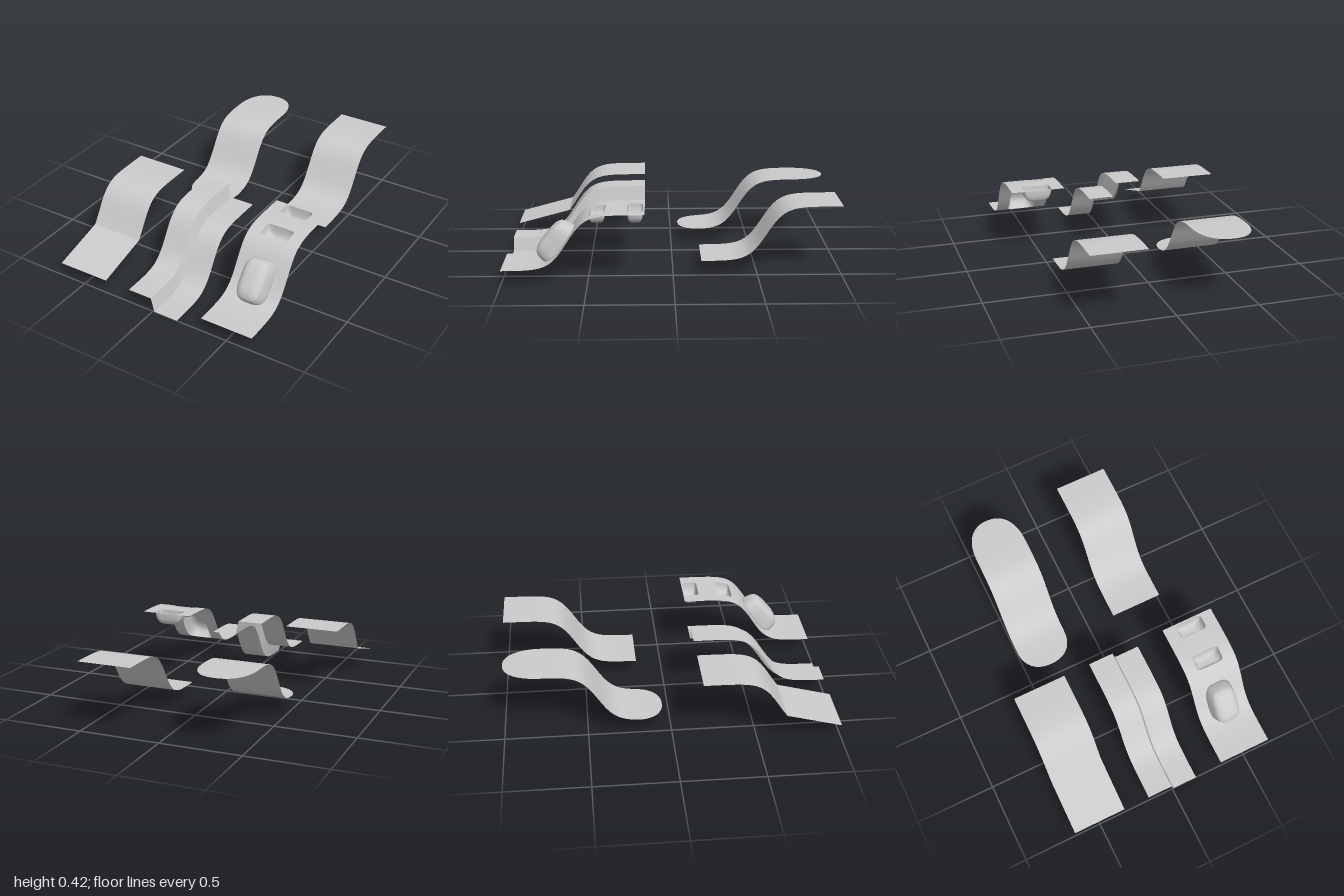
import * as THREE from 'three';
import { toCreasedNormals } from 'three/addons/utils/BufferGeometryUtils.js';

const material = new THREE.MeshStandardMaterial({ color: 0xcccccc, side: THREE.DoubleSide });
const HALF = 0.167, BACK = 0.167, FRONT = 1, DROP = 0.088;

// S-shaped section shared by every strip: high at the back, low at the front
const height = (z) => 0.253 - 0.165 * Math.tanh((z - 0.615) / 0.105);

const range = (a, b, n) => Array.from({ length: n + 1 }, (_, i) => a + ((b - a) * i) / n);

// Skin a list of equally long rows of points
function skin(name, rows) {
  const n = rows[0].length, index = [];
  for (let i = 0; i < rows.length - 1; i++) {
    for (let j = 0; j < n - 1; j++) {
      const a = i * n + j, b = a + n;
      index.push(a, b, a + 1, b, b + 1, a + 1);
    }
  }
  const geometry = new THREE.BufferGeometry();
  geometry.setAttribute('position', new THREE.Float32BufferAttribute(rows.flat(2), 3));
  geometry.setIndex(index);
  const mesh = new THREE.Mesh(toCreasedNormals(geometry, 0.55), material);
  mesh.name = name;
  return mesh;
}

// Plain strip between two z positions
const strip = (name, z0, z1, n, rule = height) =>
  skin(name, range(z0, z1, n).map((z) => [[-HALF, rule(z), z], [HALF, rule(z), z]]));

// Unit superellipse by angle; a very high power gives a square
function outline(power) {
  return range(0, Math.PI * 2, 64).map((t) => {
    const c = Math.cos(t), s = Math.sin(t);
    const r = power > 50
      ? 1 / Math.max(Math.abs(c), Math.abs(s))
      : Math.pow(Math.abs(c) ** power + Math.abs(s) ** power, -1 / power);
    return [c * r, s * r];
  });
}

// Piece of strip from z0 to z1 with a shaped opening that continues into a bump
function bumpPatch(name, z0, z1, hole, place) {
  const square = outline(100), ring = outline(hole.power), rows = [];
  for (const k of range(0, 1, 6)) {
    rows.push(square.map(([u, v], i) => {
      const x = THREE.MathUtils.lerp(u * HALF, ring[i][0] * hole.hx, k);
      const z = THREE.MathUtils.lerp((z0 + z1) / 2 + (v * (z1 - z0)) / 2, hole.z + ring[i][1] * hole.hz, k);
      return [x, height(z), z];
    }));
  }
  for (const a of range(0, Math.PI / 2, 14).slice(1)) {
    const shrink = Math.max(Math.cos(a), 0) ** 0.55, rise = Math.sin(a) ** 0.9;
    rows.push(ring.map(([u, v]) => place(u * shrink, v * shrink, rise)));
  }
  return skin(name, rows);
}

// Strip with a raised pad on the slope and two sunken pockets behind it
function paddedStrip() {
  const group = new THREE.Group();
  group.name = 'paddedStrip';
  [[0.28, 0.38], [0.51, 0.56], [0.78, FRONT]].forEach(([a, b]) => group.add(strip('stripSurface', a, b, 10)));

  // Pockets sink straight down
  [[BACK, 0.28, 0.222], [0.38, 0.51, 0.443]].forEach(([z0, z1, z]) => {
    const hole = { z, hz: 0.047, hx: 0.088, power: 7 };
    group.add(bumpPatch('pocket', z0, z1, hole, (u, v, rise) => {
      const pz = z + v * hole.hz;
      return [u * hole.hx, height(pz) + (0.338 - height(pz)) * rise, pz];
    }));
  });

  // Pad stands out square to the slope
  const hole = { z: 0.668, hz: 0.088, hx: 0.088, power: 3.6 };
  group.add(bumpPatch('raisedPad', 0.56, 0.78, hole, (u, v, rise) => {
    const bz = hole.z + v * hole.hz, along = -v * 0.145, out = 0.102 * rise;
    const pz = 0.667 - along * 0.63 + out * 0.77;
    const py = 0.2 + along * 0.77 + out * 0.63;
    const k = Math.min(1, rise * 1.4);
    return [u * 0.09, THREE.MathUtils.lerp(height(bz), py, k), THREE.MathUtils.lerp(bz, pz, k)];
  }));
  return group;
}

// Strip with a lengthwise step down its middle
function steppedStrip() {
  return skin('steppedStrip', range(BACK, FRONT, 48).map((z) => {
    const y = height(z);
    return [[-HALF, y, z], [-0.01, y, z], [0.01, y - DROP, z], [HALF, y - DROP, z]];
  }));
}

// Strip whose lower part breaks off at a sharp fold
function foldedStrip() {
  const fold = 0.667, group = new THREE.Group();
  group.name = 'foldedStrip';
  group.add(strip('upperCurve', BACK, fold, 36));
  group.add(strip('lowerRamp', fold, FRONT, 4,
    (z) => THREE.MathUtils.mapLinear(z, fold, FRONT, height(fold), 0.088)));
  return group;
}

// Strip with both ends rounded in plan
function roundedStrip() {
  const back = -0.99, front = -0.045, backDepth = 0.23, frontDepth = 0.17;
  const arc = range(0, Math.PI / 2, 14);
  const zs = [
    ...arc.map((t) => back + backDepth * (1 - Math.cos(t))),
    ...range(back + backDepth, front - frontDepth, 30).slice(1, -1),
    ...arc.map((t) => front - frontDepth + frontDepth * Math.sin(t)),
  ];
  const taper = (d) => Math.max(0, 1 - Math.max(0, d) ** 2.3) ** (1 / 2.3);
  return skin('roundedStrip', zs.map((z) => {
    const w = HALF * taper((back + backDepth - z) / backDepth) * taper((z - front + frontDepth) / frontDepth);
    const y = height(z + 1.05);
    return [[-w, y, z], [w, y, z]];
  }));
}

export function createModel() {
  const model = new THREE.Group();
  model.name = 'stripSamples';
  const add = (part, x, z = 0) => {
    part.position.set(x, 0, z);
    model.add(part);
  };
  // Front row
  add(foldedStrip(), -0.5);
  add(steppedStrip(), 0);
  add(paddedStrip(), 0.5);
  // Back row
  add(roundedStrip(), -0.335);
  add(strip('plainStrip', BACK, FRONT, 48), 0.333, -1.167);
  return model;
}
